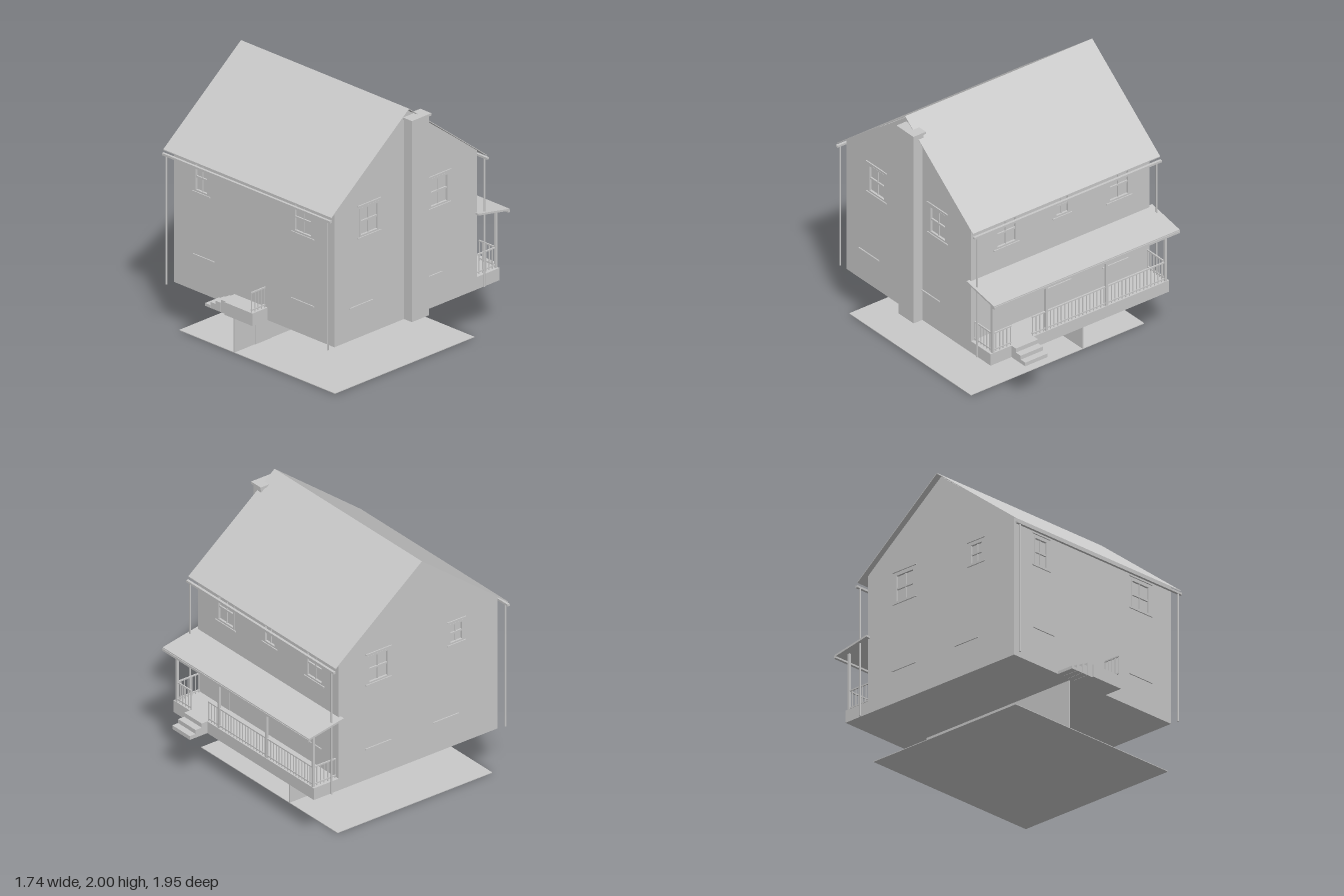
import * as THREE from 'three';

export function createModel() {
  const model = new THREE.Group();
  model.name = 'house';
  const grey = new THREE.MeshStandardMaterial({ color: 0xc8c8c8 });
  grey.name = 'plain grey';

  const add = (name, geo, parent = model) => {
    const m = new THREE.Mesh(geo, grey);
    m.name = name;
    parent.add(m);
    return m;
  };
  // Box given by its limits on each axis
  const box = (name, x0, x1, y0, y1, z0, z1, parent = model) => add(name,
    new THREE.BoxGeometry(x1 - x0, y1 - y0, z1 - z0)
      .translate((x0 + x1) / 2, (y0 + y1) / 2, (z0 + z1) / 2), parent);
  const rectPath = (u0, u1, v0, v1) => new THREE.Path(
    [[u0, v0], [u1, v0], [u1, v1], [u0, v1]].map(p => new THREE.Vector2(...p)));
  const polygon = pts => new THREE.Shape(pts.map(p => new THREE.Vector2(...p)));
  // Profile of [z, y] points, swept along x
  const sweepX = (name, pts, x0, x1, parent = model) => add(name,
    new THREE.ExtrudeGeometry(polygon(pts.map(([z, y]) => [-z, y])),
      { depth: x1 - x0, bevelEnabled: false }).rotateY(Math.PI / 2).translate(x0, 0, 0), parent);
  const group = name => {
    const g = new THREE.Group();
    g.name = name;
    model.add(g);
    return g;
  };

  const L = -0.825, R = 0.777, F = 0.828, B = -0.597, BASE = 0.37, EAVE = 1.445;
  const RIDGE = 0.115, PEAK = 1.985;

  // Sash window set in a wall opening; the wall's outer face is z = 0
  function sashWindow(g, { u, w, v0, v1 }) {
    const a = u - w / 2, b = u + w / 2, mid = (v0 + v1) / 2, t = 0.013;
    box('windowPane', a, b, v0, v1, -0.022, -0.016, g);
    for (const [p, q] of [[a, a + t], [b - t, b]]) box('windowJamb', p, q, v0, v1, -0.016, 0.001, g);
    for (const [p, q] of [[v0, v0 + t], [v1 - t, v1]]) box('windowRail', a, b, p, q, -0.016, 0.001, g);
    box('meetingRail', a, b, mid - 0.007, mid + 0.007, -0.016, -0.004, g);
    box('glazingBar', u - 0.004, u + 0.004, v0, v1, -0.016, -0.008, g);
    box('windowSill', a - 0.02, b + 0.02, v0 - 0.009, v0, -0.01, 0.009, g);
    box('windowHead', a - 0.02, b + 0.02, v1 + 0.014, v1 + 0.023, -0.01, 0.009, g);
  }

  // A wall with window openings and lower window ledges, turned to its side
  function wall(name, outline, windows, ledges, turn, x, z) {
    const g = group(name);
    const shape = polygon(outline);
    for (const { u, w, v0, v1 } of windows) shape.holes.push(rectPath(u - w / 2, u + w / 2, v0, v1));
    add(name + 'Panel', new THREE.ExtrudeGeometry(shape, { depth: 0.02, bevelEnabled: false })
      .translate(0, 0, -0.02), g);
    windows.forEach(w => sashWindow(g, w));
    for (const [u0, u1, v] of ledges) box('lowerLedge', u0, u1, v - 0.004, v + 0.004, -0.01, 0.009, g);
    g.rotation.y = turn;
    g.position.set(x, 0, z);
  }
  const tall = (u, w = 0.19) => ({ u, w, v0: 1.14, v1: 1.365 });
  const small = u => ({ u, w: 0.13, v0: 1.2, v1: 1.365 });
  const flat = (a, b) => [[a, BASE], [b, BASE], [b, EAVE], [a, EAVE]];
  const gable = (a, b, r) => [[a, BASE], [b, BASE], [b, EAVE], [r, PEAK], [a, EAVE]];

  wall('frontWall', flat(L, R), [tall(-0.55, 0.14), tall(0.465)],
    [[-0.63, -0.42, 0.65], [0.35, 0.58, 0.62]], 0, 0, F);
  wall('backWall', flat(-R, -L), [tall(-0.46), small(0.04), tall(0.55)],
    [[-0.1, 0.12, 0.64], [0.4, 0.63, 0.62]], Math.PI, 0, B);
  wall('leftWall', gable(-F, -B, -RIDGE), [tall(-0.48), tall(0.215)],
    [[-0.68, -0.45, 0.62], [0.04, 0.24, 0.62]], Math.PI / 2, R, 0);
  wall('rightWall', gable(B, F, RIDGE), [tall(-0.24), small(0.46)],
    [[-0.36, -0.13, 0.62], [0.25, 0.48, 0.62]], -Math.PI / 2, L, 0);

  // Ground floor slab with the stairwell opening
  const slab = polygon([[L + 0.01, -F + 0.01], [R - 0.01, -F + 0.01], [R - 0.01, -B - 0.01], [L + 0.01, -B - 0.01]]);
  slab.holes.push(rectPath(-0.225, -0.055, -0.27, 0.1));
  add('groundFloor', new THREE.ExtrudeGeometry(slab, { depth: 0.012, bevelEnabled: false })
    .rotateX(-Math.PI / 2).translate(0, BASE, 0));
  box('upperFloor', L + 0.02, R - 0.02, 0.95, 0.96, B + 0.02, F - 0.02);

  // Thin roof sheet with a sharp ridge
  sweepX('roof', [[0.89, 1.4], [RIDGE, 2], [-0.66, 1.4], [-0.66, 1.393], [RIDGE, 1.993], [0.89, 1.393]], -0.87, 0.81);

  // Gutters and downspouts
  box('frontGutter', -0.87, 0.81, 1.36, 1.376, 0.885, 0.905);
  box('backGutter', -0.87, 0.81, 1.36, 1.376, -0.68, -0.66);
  for (const x of [-0.834, 0.779]) {
    for (const [z, y] of [[0.895, BASE], [-0.667, BASE]]) {
      add('downspout', new THREE.CylinderGeometry(0.007, 0.007, 1.365 - y, 8)
        .translate(x, (1.365 + y) / 2, z));
    }
  }

  // Chimney
  box('chimney', 0.765, 0.855, BASE, 1.912, -0.04, 0.133);
  box('chimneyCap', 0.755, 0.866, 1.912, 1.93, -0.052, 0.143);

  // Railing between two points on the ground plane, with even balusters
  function railing(name, x0, z0, x1, z1, y0, y1) {
    const g = group(name);
    const r = 0.005;
    for (const y of [y0 + 0.02, y1 - 0.005]) {
      box('rail', Math.min(x0, x1) - r, Math.max(x0, x1) + r, y - 0.005, y + 0.005,
        Math.min(z0, z1) - r, Math.max(z0, z1) + r, g);
    }
    const n = Math.max(2, Math.round(Math.hypot(x1 - x0, z1 - z0) / 0.032));
    for (let i = 0; i <= n; i++) {
      const x = x0 + (x1 - x0) * i / n, z = z0 + (z1 - z0) * i / n;
      box('baluster', x - 0.003, x + 0.003, y0, y1 - 0.005, z - 0.003, z + 0.003, g);
    }
  }

  // Front landing with side steps
  box('frontLanding', -0.17, 0.11, BASE, 0.467, F, 0.978);
  for (let i = 0; i < 4; i++) {
    box('frontStep', -0.22 - i * 0.052, -0.17 - i * 0.052, BASE, 0.467 - i * 0.025, F, 0.965);
  }
  railing('landingRailing', 0.093, 0.84, 0.093, 0.97, 0.467, 0.625);

  // Back porch
  box('porchDeck', L, R, BASE, 0.465, -0.82, B);
  [[0.465, -0.87], [0.432, -0.925], [0.4, -0.977]].forEach(([y, z], i) =>
    box('porchStep', 0.39, 0.59, BASE, y, z, -0.82 + (i ? -0.05 * i : 0)));
  for (const x of [0.75, 0.27, -0.27, -0.8]) box('porchPost', x - 0.009, x + 0.009, 0.465, 0.915, -0.816, -0.798);
  railing('backRailing', 0.39, -0.807, -0.8, -0.807, 0.465, 0.625);
  railing('backRailingShort', 0.59, -0.807, 0.75, -0.807, 0.465, 0.625);
  for (const x of [0.75, -0.8]) railing('sideRailing', x, -0.807, x, -0.61, 0.465, 0.625);
  sweepX('porchRoof', [[-0.58, 0.967], [-0.893, 0.908], [-0.893, 0.893], [-0.58, 0.952]], -0.862, 0.805);
  box('porchGutter', -0.862, 0.805, 0.882, 0.9, -0.898, -0.878);
  box('backDoor', 0.42, 0.56, 0.465, 0.83, -0.601, -0.597);

  // Basement floor, partition wall and door
  box('basementFloor', -0.79, 0.765, 0, 0.005, -0.58, 0.81);
  box('basementWall', -0.246, -0.236, 0.005, BASE, -0.58, 0.81);
  box('basementDoor', -0.236, -0.231, 0.005, 0.362, 0.45, 0.605);
  add('doorKnob', new THREE.SphereGeometry(0.007, 10, 8).translate(-0.226, 0.17, 0.467));

  // Basement stairs
  const n = 14, rise = BASE / n, run = 0.54 / n;
  for (let i = 0; i < n; i++) {
    const y = i * rise, z = -0.3 + i * run;
    box('stairTread', -0.217, -0.063, y + rise - 0.008, y + rise, z, z + run + 0.006);
    box('stairRiser', -0.217, -0.063, y + 0.004, y + rise - 0.008, z, z + 0.006);
  }
  for (const x of [-0.225, -0.067]) {
    sweepX('stairStringer', [[0.27, 0.37], [0.2, 0.37], [-0.305, 0.048], [-0.305, 0.005], [-0.3, 0.005]], x, x + 0.01);
  }
  box('stairNewel', -0.07, -0.054, 0.005, 0.19, -0.32, -0.298);
  sweepX('stairHandrail', [[0.0, 0.37], [-0.02, 0.37], [-0.31, 0.182], [-0.31, 0.168]], -0.067, -0.057);
  for (const z of [-0.21, -0.12, -0.01]) {
    const line = 0.24 + z * 0.64;
    box('stairBaluster', -0.066, -0.058, line, Math.min(0.37, line + 0.13), z - 0.004, z + 0.004);
  }
  return model;
}
